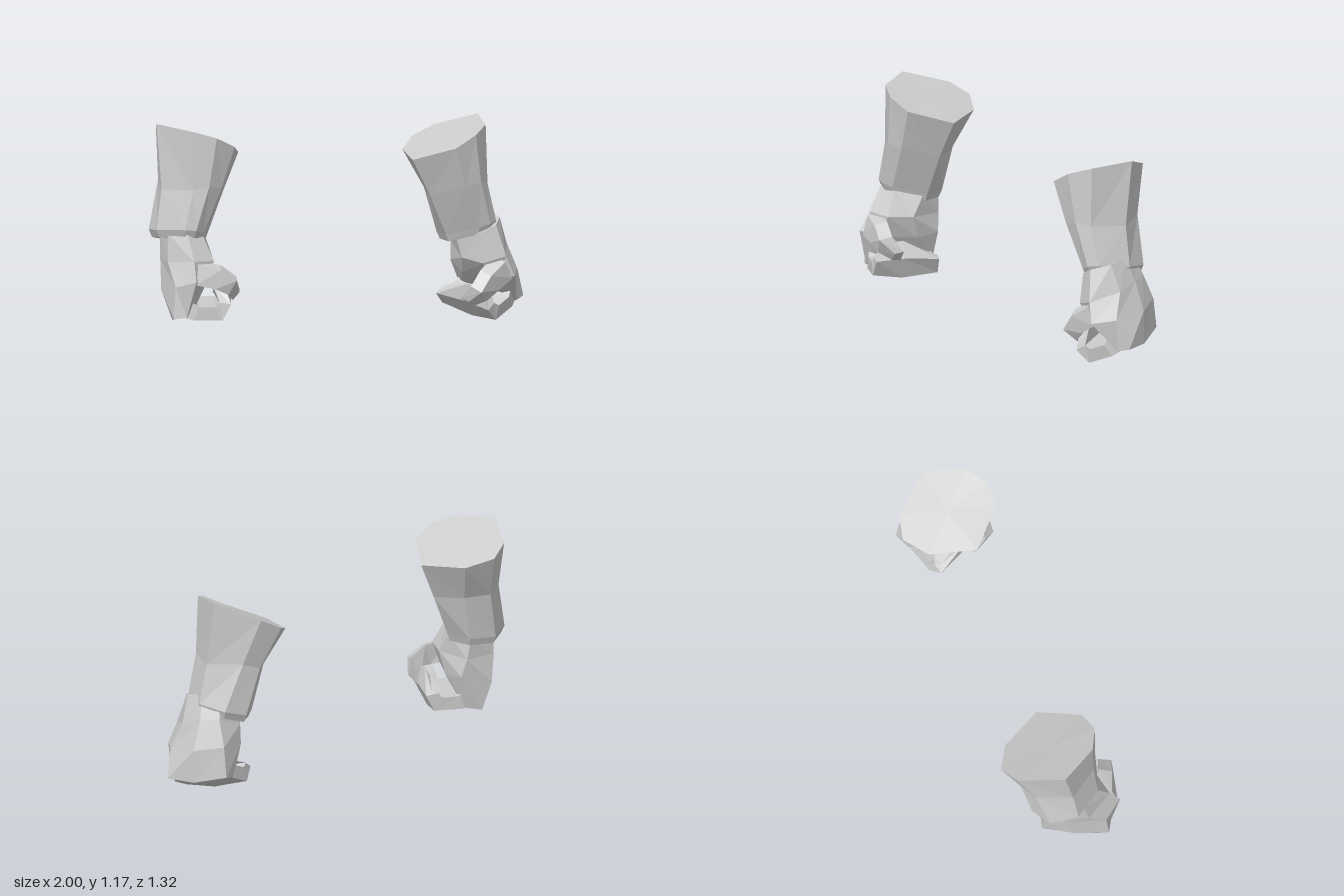
import * as THREE from 'three';

const vec = (p) => new THREE.Vector3(...p);
const material = new THREE.MeshStandardMaterial({ color: 0xcccccc, flatShading: true });

// Cuff rings, from the wide opening down to the wrist
const cuffRings = [
  [[-.96, 1.185, .38], [-.77, 1.165, .51], [-.64, 1.13, .51], [-.545, 1.07, .435],
   [-.523, 1, .19], [-.73, 1.015, .04], [-.885, 1.06, .03], [-.96, 1.115, .125]],
  [[-.933, .84, .42], [-.765, .85, .515], [-.68, .87, .515], [-.615, .85, .455],
   [-.605, .8, .25], [-.75, .815, .15], [-.89, .83, .14], [-.95, .86, .22]],
  [[-.96, .625, .45], [-.81, .64, .54], [-.75, .635, .535], [-.71, .617, .485],
   [-.69, .575, .3], [-.79, .57, .2], [-.93, .575, .2], [-1, .603, .3]],
];
// Turned-in lip below the cuff
cuffRings.push(cuffRings[2].map(([x, y, z]) => [x * .9 - .083, y - .04, z * .9 + .037]));

// Palm rings, from the wrist down to the knuckles
const palmRings = [
  [[-.9, .61, .47], [-.8, .63, .52], [-.72, .61, .47], [-.7, .57, .32],
   [-.8, .56, .22], [-.93, .58, .27], [-.94, .6, .37]],
  [[-.9, .46, .5], [-.76, .48, .6], [-.655, .47, .52], [-.66, .46, .38],
   [-.78, .45, .22], [-.935, .46, .27], [-.94, .46, .38]],
  [[-.86, .34, .59], [-.75, .378, .655], [-.7, .35, .56], [-.69, .34, .35],
   [-.75, .35, .23], [-.92, .31, .25], [-.935, .3, .42]],
  [[-.87, .17, .605], [-.8, .18, .61], [-.76, .22, .56], [-.75, .22, .32],
   [-.78, .17, .26], [-.87, .155, .26], [-.875, .138, .45]],
];

// Curled fingers: outer x, y, inner x, y, near z, far z
const fingerRings = [
  [-.83, .18, -.8, .28, .28, .59],
  [-.76, .165, -.74, .235, .265, .61],
  [-.61, .165, -.65, .235, .26, .61],
  [-.565, .25, -.625, .26, .26, .6],
  [-.6, .34, -.66, .335, .29, .54],
].map(([ox, oy, ix, iy, z0, z1], i) => {
  const drop = i === 4 ? .07 : 0, bulge = i < 3 ? .02 : -.01;
  return [[ox, oy - drop, z0], [ox, oy - bulge, .45], [ox, oy, z1], [ix, iy, z1], [ix, iy - drop, z0]];
});

// Thumb, folded across the front of the fist
const thumbRings = [
  [[-.76, .36, .52], [-.75, .36, .64], [-.74, .46, .61], [-.74, .47, .53]],
  [[-.65, .335, .545], [-.65, .335, .62], [-.62, .435, .6], [-.62, .45, .53]],
  [[-.595, .3, .52], [-.58, .3, .59], [-.535, .375, .59], [-.54, .39, .52]],
  [[-.56, .255, .47], [-.555, .26, .52], [-.52, .3, .51], [-.52, .31, .46]],
];

// Closed faceted solid through a list of rings; mirrored copies swap corner order
function loft(name, ringData, matrix, mirrored) {
  const rings = ringData.map((r) => r.map((p) => vec(p).applyMatrix4(matrix)));
  const out = [];
  const tri = (a, b, c) => (mirrored ? [a, c, b] : [a, b, c]).forEach((p) => out.push(p.x, p.y, p.z));
  const middle = (r) => r.reduce((s, p) => s.add(p), new THREE.Vector3()).divideScalar(r.length);
  const n = rings[0].length, last = rings[rings.length - 1];
  const c0 = middle(rings[0]), c1 = middle(last);
  for (let j = 0; j < n; j++) {
    const k = (j + 1) % n;
    for (let i = 0; i < rings.length - 1; i++) {
      const a = rings[i], b = rings[i + 1];
      tri(a[j], b[j], b[k]);
      tri(a[j], b[k], a[k]);
    }
    tri(c0, rings[0][j], rings[0][k]);
    tri(c1, last[k], last[j]);
  }
  const g = new THREE.BufferGeometry();
  g.setAttribute('position', new THREE.Float32BufferAttribute(out, 3));
  g.computeVertexNormals();
  const mesh = new THREE.Mesh(g, material);
  mesh.name = name;
  return mesh;
}

// Axes spanned by an origin and two further points
function frame([o, a, b]) {
  const x = a.clone().sub(o).normalize();
  const n = x.clone().cross(b.clone().sub(o)).normalize();
  return new THREE.Matrix4().makeBasis(x, n, x.clone().cross(n)).setPosition(o);
}

// Mirror across x, then move three source points onto three target points
function mirrorOnto(source, target) {
  const mirror = new THREE.Matrix4().makeScale(-1, 1, 1);
  const from = frame(source.map((p) => vec(p).applyMatrix4(mirror)));
  return frame(target.map(vec)).multiply(from.invert()).multiply(mirror);
}

function glove(name, cuffMatrix, handMatrix, mirrored) {
  const group = new THREE.Group();
  group.name = name;
  group.add(
    loft('cuff', cuffRings, cuffMatrix, mirrored),
    loft('palm', palmRings, handMatrix, mirrored),
    loft('fingers', fingerRings, handMatrix, mirrored),
    loft('thumb', thumbRings, handMatrix, mirrored),
  );
  return group;
}

export function createModel() {
  const model = new THREE.Group();
  model.name = 'gloves';
  const still = new THREE.Matrix4();
  const top = cuffRings[0];
  // The left glove is a turned mirror copy with its wrist bent
  const leftCuff = mirrorOnto([top[0], top[4], top[6]],
    [[.755, 1.08, -.52], [.405, .885, -.2], [.405, .944, -.585]]);
  const leftHand = mirrorOnto([[-.87, .155, .26], [-.87, .17, .605], [-.82, .585, .37]],
    [[.72, .155, -.66], [.995, .11, -.46], [.72, .46, -.45]]);
  model.add(glove('rightGlove', still, still, false), glove('leftGlove', leftCuff, leftHand, true));
  return model;
}
